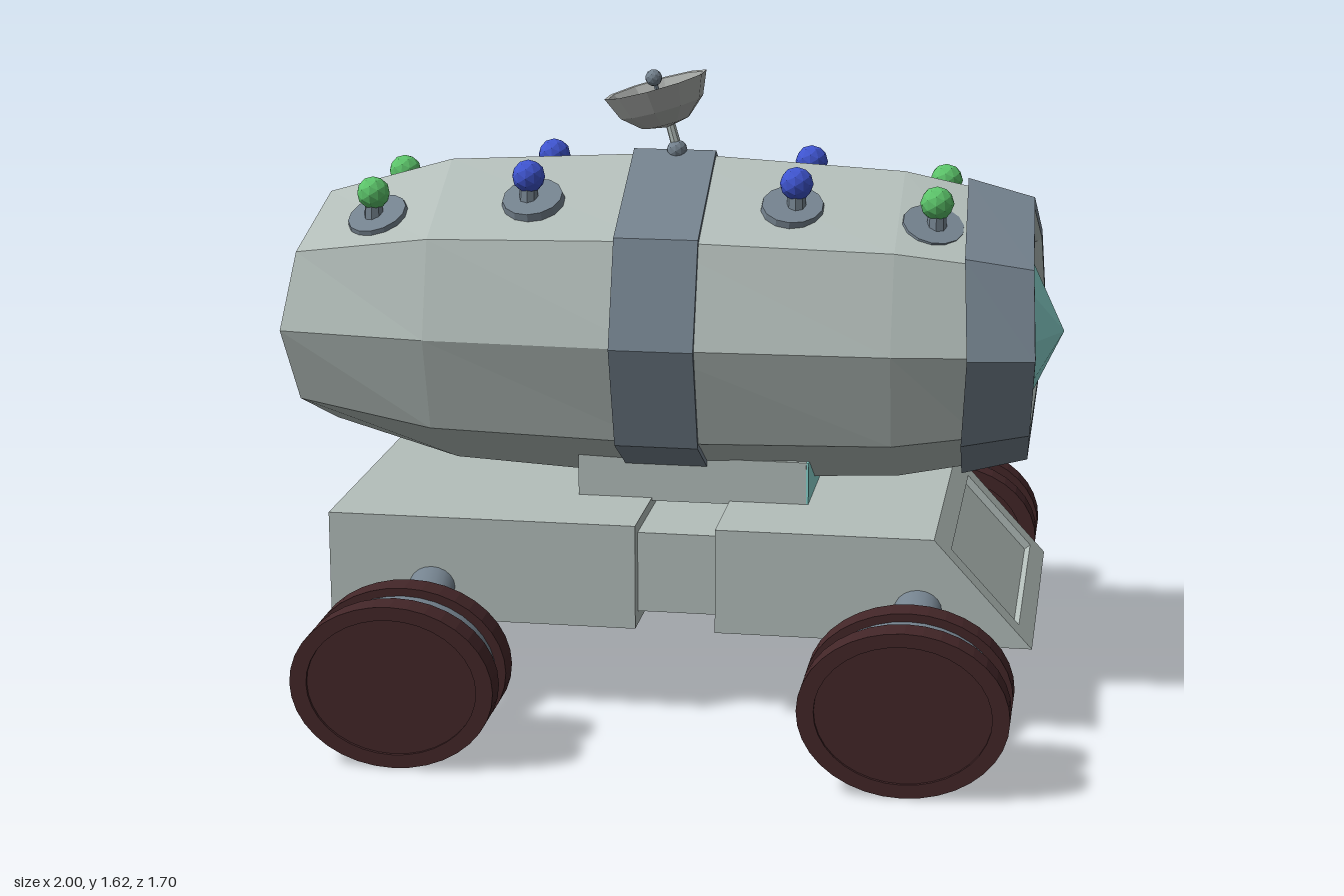
import * as THREE from 'three';

const mat = (color) => new THREE.MeshStandardMaterial({ color, flatShading: true, side: THREE.DoubleSide });
const smooth = (color) => new THREE.MeshStandardMaterial({ color });
const GREY = 0xb4bfbb, SLATE = 0x75838f, TEAL = 0x8cd8d2, TYRE = 0x432628, GREEN = 0x5cc46a, BLUE = 0x3f55d0;
const CY = 0.965; // height of the hull axis

function add(parent, name, geometry, material, x = 0, y = 0, z = 0) {
  const m = new THREE.Mesh(geometry, material);
  m.name = name;
  m.position.set(x, y, z);
  parent.add(m);
  return m;
}

// Section: [xTop, xDiagonal, xSide, topHeight, diagonalHeight, diagonalWidth, sideWidth]
function ring([xt, xd, xs, top, dy, dz, side]) {
  const quarter = [[xt, top, 0], [xd, dy, dz], [xs, 0, side], [xd, -dy, dz]];
  return [...quarter, ...quarter.map(([x, y, z]) => [x, -y, -z])];
}
const scaled = (s, k, dx = 0) => s.map((v, i) => (i < 3 ? v + dx : v * k));

// Eight-sided skin through a row of sections along x
function loft(sections, capStart = false, capEnd = false) {
  const rings = sections.map(ring), pos = [];
  const tri = (a, b, c) => pos.push(...a, ...b, ...c);
  for (let s = 0; s < rings.length - 1; s++) {
    for (let i = 0; i < 8; i++) {
      const j = (i + 1) % 8;
      const a = rings[s][i], b = rings[s][j], c = rings[s + 1][j], d = rings[s + 1][i];
      tri(a, b, c);
      tri(a, c, d);
    }
  }
  const cap = (r, x, flip) => r.forEach((p, i) => {
    const q = r[(i + 1) % 8];
    if (flip) tri([x, 0, 0], q, p);
    else tri([x, 0, 0], p, q);
  });
  if (capStart) cap(rings[0], sections[0][1], true);
  if (capEnd) cap(rings[rings.length - 1], sections[sections.length - 1][1], false);
  const g = new THREE.BufferGeometry();
  g.setAttribute('position', new THREE.Float32BufferAttribute(pos, 3));
  g.computeVertexNormals();
  return g;
}

// Side profile extruded across z between two limits
function slab(points, z0, z1) {
  const shape = new THREE.Shape(points.map(([x, y]) => new THREE.Vector2(x, y)));
  return new THREE.ExtrudeGeometry(shape, { depth: z1 - z0, bevelEnabled: false }).translate(0, 0, z0);
}

function buildHull(root) {
  const hull = new THREE.Group();
  hull.name = 'hull';
  hull.position.y = CY;
  root.add(hull);
  const rear = [-0.94, -0.968, -0.998, 0.31, 0.195, 0.248, 0.315];
  const lip = scaled(rear, 0.86, 0.005);
  add(hull, 'hullShell', loft([
    scaled(rear, 0.84, 0.04), lip, rear,
    [-0.61, -0.61, -0.61, 0.405, 0.248, 0.295, 0.365],
    [-0.02, -0.02, -0.02, 0.437, 0.262, 0.303, 0.385],
    [0.58, 0.58, 0.58, 0.405, 0.248, 0.295, 0.367],
    [0.8, 0.8, 0.8, 0.36, 0.22, 0.27, 0.34],
  ]), mat(GREY));
  add(hull, 'rearHatch', loft([scaled(rear, 0.85, 0.025), scaled(rear, 0.85, 0.05)], true), mat(SLATE));

  // Band around the middle
  const band = (x, k) => scaled([x, x, x, 0.446, 0.27, 0.31, 0.395], k);
  add(hull, 'middleBand', loft([band(-0.125, 0.93), band(-0.125, 1), band(0.09, 1), band(0.09, 0.93)]), mat(SLATE));

  // Collar, window frame and faceted window at the front
  const back = [0.742, 0.755, 0.77, 0.392, 0.24, 0.292, 0.38];
  const front = [0.912, 0.925, 0.937, 0.347, 0.212, 0.265, 0.355];
  add(hull, 'frontCollar', loft([scaled(back, 0.9), back, front, scaled(front, 0.92)]), mat(SLATE));
  const glassRim = [0.87, 0.87, 0.87, 0.27, 0.19, 0.19, 0.255];
  add(hull, 'windowFrame', loft([scaled(front, 0.92), scaled(front, 0.88, -0.01), glassRim]), mat(GREY));
  const tip = [0.997, 0.997, 0.997, 0, 0, 0, 0];
  add(hull, 'window', loft([glassRim, tip]), mat(TEAL));
}

function buildLights(root) {
  const ball = new THREE.IcosahedronGeometry(0.043, 1);
  const stem = new THREE.CylinderGeometry(0.022, 0.026, 0.07, 8);
  const disc = new THREE.CylinderGeometry(0.078, 0.083, 0.022, 14);
  const rows = [[-0.78, 1.305, GREEN, 0.19], [-0.37, 1.36, BLUE, 0.06], [0.32, 1.36, BLUE, -0.06], [0.675, 1.32, GREEN, -0.2]];
  for (const [x, y, color, pitch] of rows) {
    for (const s of [1, -1]) {
      const light = new THREE.Group();
      light.name = 'signalLight';
      light.position.set(x, y, 0.167 * s);
      root.add(light);
      add(light, 'lamp', ball, mat(color));
      add(light, 'lampStem', stem, mat(SLATE), 0, -0.04, 0);
      const d = add(light, 'lampBase', disc, mat(SLATE), 0.01 * Math.sign(pitch), -0.062, -0.004 * s);
      d.rotation.set(0.46 * s, 0, pitch);
    }
  }
}

function buildDish(root) {
  const dish = new THREE.Group();
  dish.name = 'dishAntenna';
  root.add(dish);
  add(dish, 'dishPivot', new THREE.IcosahedronGeometry(0.027, 1), mat(SLATE), -0.012, 1.41, 0);
  const mast = add(dish, 'dishMast', new THREE.CylinderGeometry(0.012, 0.014, 0.1, 8), mat(GREY), -0.022, 1.45, 0);
  mast.rotation.z = 0.27;
  const head = new THREE.Group();
  head.name = 'dishHead';
  head.position.set(-0.037, 1.468, 0);
  head.rotation.z = 0.275;
  root.add(head);
  const bowl = [[0, 0], [0.065, 0.014], [0.112, 0.055], [0.138, 0.115], [0.128, 0.113], [0.1, 0.06], [0.06, 0.026], [0, 0.014]];
  add(head, 'dishBowl', new THREE.LatheGeometry(bowl.map(([r, y]) => new THREE.Vector2(r, y)), 10), mat(0xa9aca9));
  add(head, 'dishFeed', new THREE.CylinderGeometry(0.006, 0.006, 0.12, 6), mat(SLATE), 0, 0.07, 0);
  add(head, 'dishReceiver', new THREE.IcosahedronGeometry(0.022, 1), mat(SLATE), 0, 0.133, 0);
}

function buildChassis(root) {
  const chassis = new THREE.Group();
  chassis.name = 'chassis';
  root.add(chassis);
  const grey = mat(GREY);
  add(chassis, 'rearChassis', new THREE.BoxGeometry(0.8, 0.273, 0.82), grey, -0.455, 0.3765, 0);
  add(chassis, 'chassisLink', new THREE.BoxGeometry(0.24, 0.21, 0.74), grey, 0.048, 0.38, 0);

  // Front body with a sloping nose and a sunken panel
  const nose = [[0.15, 0.24], [0.952, 0.24], [0.702, 0.513], [0.15, 0.513]];
  const at = (y, inset) => [0.952 - (y - 0.24) * 0.916 - inset * 0.74, y - inset * 0.67];
  const sunken = [nose[0], nose[1], at(0.28, 0), at(0.28, 0.02), at(0.47, 0.02), at(0.47, 0), nose[2], nose[3]];
  add(chassis, 'frontChassis', slab(sunken, -0.34, 0.34), grey);
  add(chassis, 'frontChassisLeft', slab(nose, 0.34, 0.41), grey);
  add(chassis, 'frontChassisRight', slab(nose, -0.41, -0.34), grey);

  // Pedestal carrying the hull, with a glazed front
  add(chassis, 'pedestal', new THREE.BoxGeometry(0.6, 0.12, 0.3), grey, 0.05, 0.565, 0);
  add(chassis, 'pedestalWindow', new THREE.BoxGeometry(0.008, 0.118, 0.298), mat(TEAL), 0.352, 0.565, 0);
}

function buildWheels(root) {
  // Tyre rim with a slightly sunken outer disc
  const tyre = [[0, 0], [0.255, 0], [0.255, 0.072], [0.213, 0.072], [0.213, 0.064], [0, 0.064]];
  const tyreGeo = new THREE.LatheGeometry(tyre.map(([r, y]) => new THREE.Vector2(r, y)), 36).toNonIndexed();
  tyreGeo.computeVertexNormals();
  const hubGeo = new THREE.CylinderGeometry(0.23, 0.23, 0.08, 36);
  for (const x of [-0.585, 0.665]) {
    for (const s of [1, -1]) {
      const wheel = new THREE.Group();
      wheel.name = 'wheel';
      wheel.position.set(x, 0.208, 0.738 * s);
      wheel.scale.set(1, 0.813, 1);
      root.add(wheel);
      for (const t of [1, -1]) {
        const m = add(wheel, 'tyre', tyreGeo, mat(TYRE), 0, 0, 0.039 * t);
        m.rotation.x = t * Math.PI / 2;
      }
      add(wheel, 'hub', hubGeo, smooth(SLATE)).rotation.x = Math.PI / 2;

      // Sloping axle from the chassis to the wheel
      const a = new THREE.Vector3(x, 0.37, 0.33 * s), b = new THREE.Vector3(x, 0.2, 0.66 * s);
      const axle = add(root, 'axle', new THREE.CylinderGeometry(0.06, 0.06, a.distanceTo(b), 20), smooth(SLATE));
      axle.position.copy(a).lerp(b, 0.5);
      axle.quaternion.setFromUnitVectors(new THREE.Vector3(0, 1, 0), b.sub(a).normalize());
      axle.scale.z = 0.76;
    }
  }
}

export function createModel() {
  const root = new THREE.Group();
  root.name = 'rover';
  buildHull(root);
  buildLights(root);
  buildDish(root);
  buildChassis(root);
  buildWheels(root);
  return root;
}
